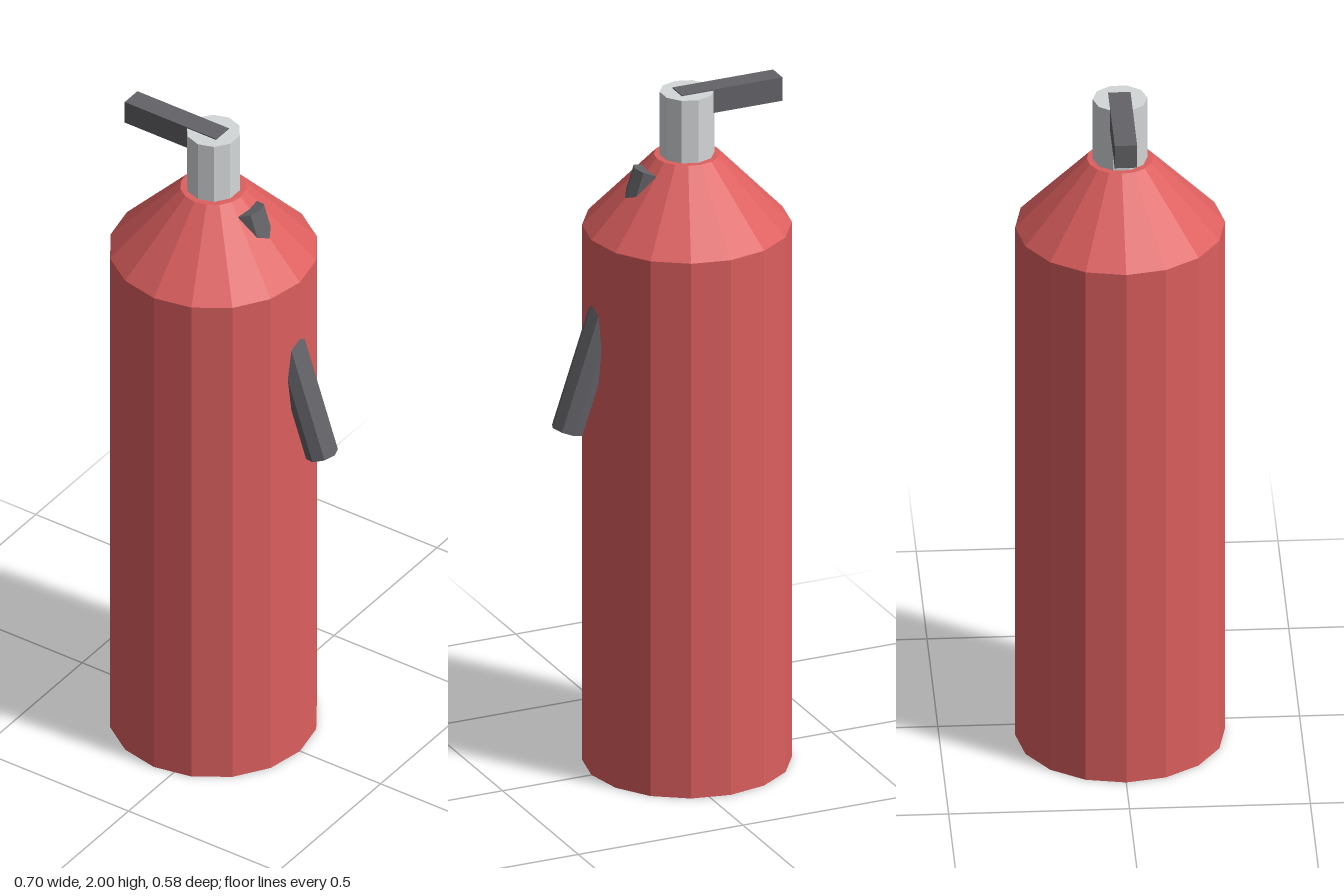
import * as THREE from 'three';

function material(name, color) {
  const m = new THREE.MeshStandardMaterial({ color, flatShading: true });
  m.name = name;
  return m;
}

export function createModel() {
  const red = material('red paint', 0xdd5f5f);
  const metal = material('light metal', 0xd4d7d8);
  const dark = material('dark rubber', 0x636368);

  const model = new THREE.Group();
  model.name = 'fireExtinguisher';

  const add = (name, geometry, mat, x, y, z = 0) => {
    const mesh = new THREE.Mesh(geometry, mat);
    mesh.name = name;
    mesh.position.set(x, y, z);
    model.add(mesh);
    return mesh;
  };

  const axisX = -0.06;

  // Tank: straight wall, sloped shoulder and flat neck
  const profile = [[0, 0], [0.29, 0], [0.29, 1.6], [0.092, 1.81], [0, 1.81]]
    .map(([r, y]) => new THREE.Vector2(r, y));
  add('tank', new THREE.LatheGeometry(profile, 16), red, axisX, 0);

  // Valve on the neck
  add('valve', new THREE.CylinderGeometry(0.076, 0.076, 0.197, 10), metal, axisX, 1.8985);

  // Handle, let into the top of the valve
  add('handle', new THREE.BoxGeometry(0.306, 0.07, 0.062), dark, -0.183, 1.965);

  // Hose: one slanted rod passing through the shoulder and the wall
  const top = new THREE.Vector3(0.056, 1.778, 0);
  const end = new THREE.Vector3(0.304, 1.044, 0);
  const middle = top.clone().add(end).multiplyScalar(0.5);
  const hose = add('hose', new THREE.CylinderGeometry(0.046, 0.046, top.distanceTo(end), 8),
    dark, middle.x, middle.y);
  hose.rotation.z = Math.atan2(end.x - top.x, top.y - end.y);

  return model;
}
